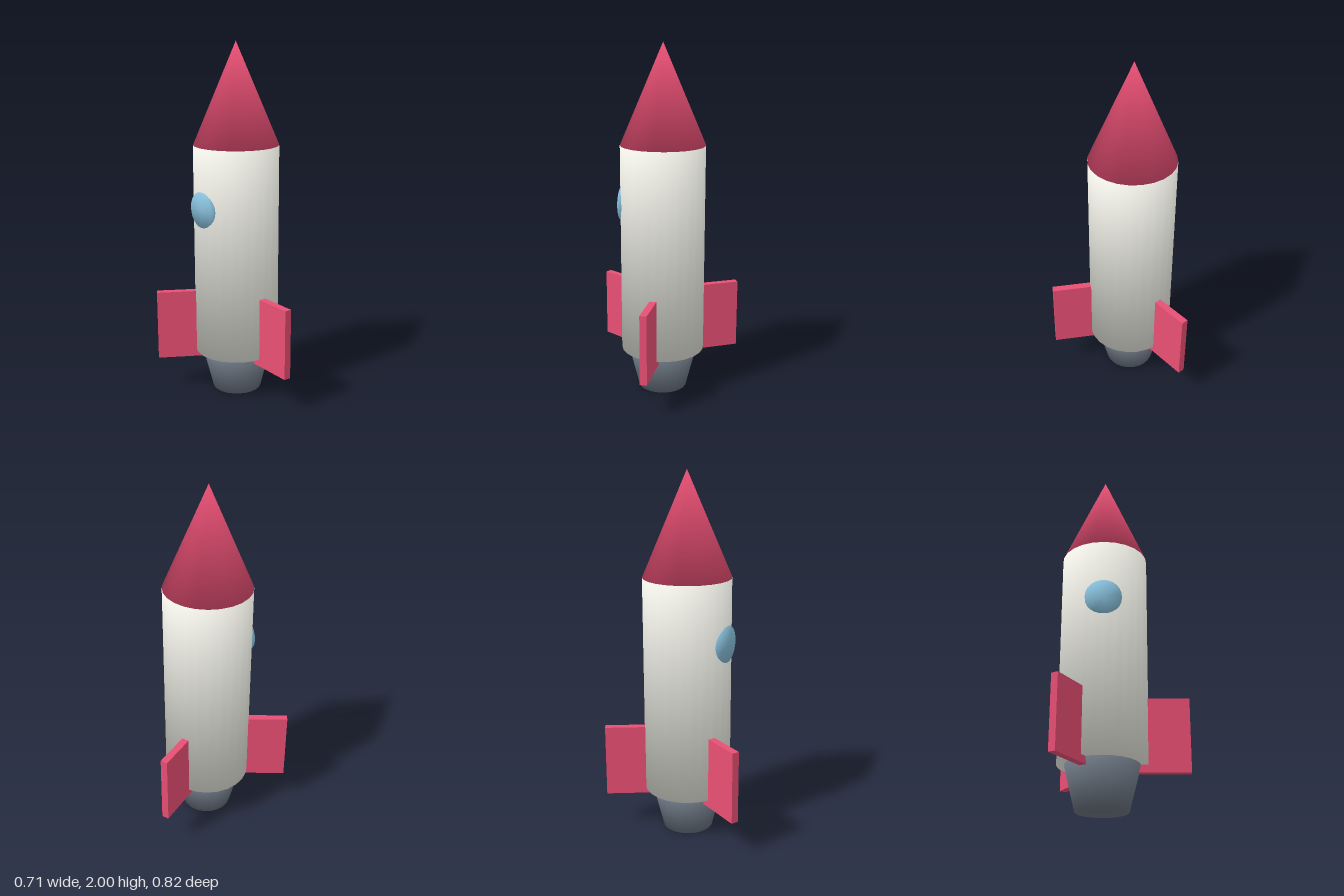
import * as THREE from 'three';

const SIDES = 24;
const RED = 0xe94f74, WHITE = 0xecece4, GREY = 0x69737f, BLUE = 0x87bfdb;

function addMesh(parent, name, geometry, color) {
  const mesh = new THREE.Mesh(geometry, new THREE.MeshStandardMaterial({ color }));
  mesh.name = name;
  parent.add(mesh);
  return mesh;
}

// Closed round section whose shading runs softly over its rims
function softRound(rTop, rBottom, height) {
  const geometry = new THREE.CylinderGeometry(rTop, rBottom, height, SIDES);
  const { position, normal } = geometry.attributes;
  const sums = new Map();
  const v = new THREE.Vector3();
  const key = (i) => v.fromBufferAttribute(position, i).toArray().map((n) => Math.round(n * 1e4)).join();
  for (let i = 0; i < position.count; i++) {
    const k = key(i);
    if (!sums.has(k)) sums.set(k, new THREE.Vector3());
    sums.get(k).add(v.fromBufferAttribute(normal, i));
  }
  for (let i = 0; i < position.count; i++) {
    const n = sums.get(key(i)).clone().normalize();
    normal.setXYZ(i, n.x, n.y, n.z);
  }
  return geometry;
}

export function createModel() {
  const rocket = new THREE.Group();
  rocket.name = 'rocket';

  // The three fins reach unevenly along x, so the hull axis sits off centre
  const hull = new THREE.Group();
  hull.name = 'hull';
  hull.position.x = -0.107;
  rocket.add(hull);

  // Stacked round sections: [name, top radius, bottom radius, y from, y to, color]
  const sections = [
    ['nozzle', 0.2, 0.14, 0, 0.24, GREY],
    ['body', 0.24, 0.24, 0.24, 1.44, WHITE],
    ['noseCone', 0, 0.24, 1.44, 2, RED],
  ];
  for (const [name, rTop, rBottom, y0, y1, color] of sections) {
    addMesh(hull, name, softRound(rTop, rBottom, y1 - y0), color).position.y = (y0 + y1) / 2;
  }

  // Round window set into the front of the body
  const porthole = addMesh(hull, 'porthole', softRound(0.1, 0.1, 0.04), BLUE);
  porthole.rotation.x = Math.PI / 2;
  porthole.position.set(0, 1.1, 0.2205);

  // Three upright fins, one pointing to +x
  for (let i = 0; i < 3; i++) {
    const geometry = new THREE.BoxGeometry(0.28, 0.4, 0.04).translate(0.32, 0.4, 0);
    addMesh(hull, `fin${i + 1}`, geometry, RED).rotation.y = (i * Math.PI * 2) / 3;
  }

  return rocket;
}
